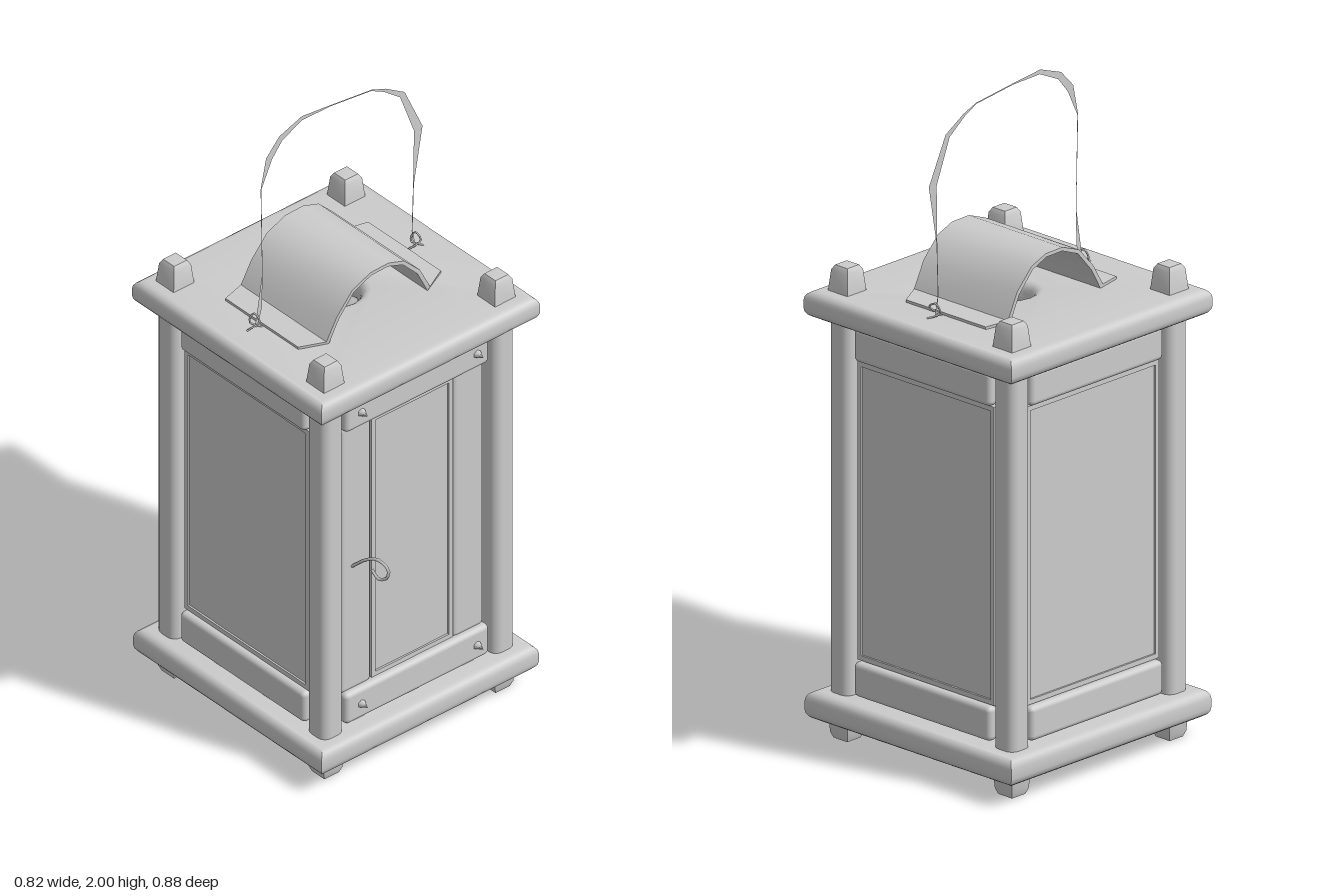
import * as THREE from 'three';
import { toCreasedNormals } from 'three/addons/utils/BufferGeometryUtils.js';
import { RoundedBoxGeometry } from 'three/addons/geometries/RoundedBoxGeometry.js';

const paint = new THREE.MeshStandardMaterial({ color: 0xcccccc, side: THREE.DoubleSide });
paint.name = 'light grey';

function add(parent, name, geometry, x = 0, y = 0, z = 0) {
  const mesh = new THREE.Mesh(geometry, paint);
  mesh.name = name;
  mesh.position.set(x, y, z);
  parent.add(mesh);
  return mesh;
}

const bar = (w, h, d, r) => new RoundedBoxGeometry(w, h, d, 3, r);

function rectangle(Type, w, h) {
  return new Type([[-w, -h], [w, -h], [w, h], [-w, h]].map(([x, y]) => new THREE.Vector2(x / 2, y / 2)));
}

// Square board with rounded edges, optionally with a round vent
function slab(size, thickness, vent) {
  const bevel = 0.028;
  const shape = rectangle(THREE.Shape, size - 2 * bevel, size - 2 * bevel);
  if (vent) {
    const hole = new THREE.Path();
    hole.absarc(0, 0, vent, 0, Math.PI * 2, true);
    shape.holes.push(hole);
  }
  const g = new THREE.ExtrudeGeometry(shape, {
    depth: thickness - 2 * bevel, bevelThickness: bevel, bevelSize: bevel, bevelSegments: 4, curveSegments: 8,
  });
  g.translate(0, 0, bevel).rotateX(-Math.PI / 2);
  return toCreasedNormals(g, 0.7);
}

// Four-sided peg from half-width and height pairs
function peg(profile) {
  const pts = profile.map(([w, y]) => new THREE.Vector2(w * Math.SQRT2, y));
  return toCreasedNormals(new THREE.LatheGeometry(pts, 4, Math.PI / 4), 0.7);
}

// Glass pane with a narrow raised frame
function pane(parent, x, y, z, w, h) {
  const edge = rectangle(THREE.Shape, w, h);
  edge.holes.push(rectangle(THREE.Path, w - 0.03, h - 0.03));
  add(parent, 'paneFrame', new THREE.ExtrudeGeometry(edge, { depth: 0.02, bevelEnabled: false }), x, y, z - 0.01);
  add(parent, 'glass', new THREE.BoxGeometry(w - 0.02, h - 0.02, 0.008), x, y, z);
}

// One wall: rails above and below, with an opening between them
function wall(parent, name, angle) {
  const g = new THREE.Group();
  g.name = name;
  g.rotation.y = angle;
  parent.add(g);
  for (const y of [0.203, 1.218]) add(g, 'rail', bar(0.54, 0.105, 0.04, 0.016), 0, y, 0.335);
  return g;
}

// Bent sheet-metal hood with chamfered flanges
function hood() {
  const outer = [[-0.275, 1.366], [-0.2, 1.368], [-0.16, 1.435], [-0.1, 1.5], [-0.03, 1.527], [0.04, 1.527],
    [0.1, 1.505], [0.16, 1.445], [0.2, 1.368], [0.275, 1.366]];
  const inner = outer.map(([x, y], i) => [x * (i > 0 && i < 9 ? 0.95 : 1), y - 0.011]).reverse();
  const shape = new THREE.Shape([...outer, ...inner].map(([x, y]) => new THREE.Vector2(x, y)));
  const g = new THREE.ExtrudeGeometry(shape, { depth: 1, bevelEnabled: false });
  const p = g.attributes.position;
  for (let i = 0; i < p.count; i++) {
    const x = p.getX(i);
    const end = Math.abs(x) > 0.24;
    const back = end ? -0.195 : -0.212;
    const front = end ? 0.12 : 0.158;
    p.setZ(i, THREE.MathUtils.lerp(back, front, p.getZ(i)) - 0.03 * x);
  }
  return toCreasedNormals(g, 0.6);
}

// Flat tapering strip through [x, y, width] points
function ribbon(points) {
  const pos = [];
  const index = [];
  points.forEach(([x, y, w], i) => {
    const a = points[Math.max(i - 1, 0)];
    const b = points[Math.min(i + 1, points.length - 1)];
    const n = new THREE.Vector2(a[1] - b[1], b[0] - a[0]).normalize().multiplyScalar(w / 2);
    const z = -0.03 - 0.015 * THREE.MathUtils.smoothstep(y, 1.5, 2);
    pos.push(x + n.x, y + n.y, z, x - n.x, y - n.y, z);
    if (i) index.push(2 * i - 2, 2 * i - 1, 2 * i, 2 * i, 2 * i - 1, 2 * i + 1);
  });
  const g = new THREE.BufferGeometry();
  g.setAttribute('position', new THREE.Float32BufferAttribute(pos, 3));
  g.setIndex(index);
  g.computeVertexNormals();
  return g;
}

function wire(points, radius) {
  const curve = new THREE.CatmullRomCurve3(points.map((p) => new THREE.Vector3(...p)));
  return new THREE.TubeGeometry(curve, 16, radius, 5);
}

export function createModel() {
  const model = new THREE.Group();
  model.name = 'lantern';
  const body = new THREE.Group();
  body.name = 'body';
  body.position.z = -0.025;
  model.add(body);

  // Base and roof
  add(body, 'base', slab(0.815, 0.085), 0, 0.06, 0);
  add(body, 'roof', slab(0.82, 0.08, 0.1), 0, 1.278, 0);

  // Corner posts with pegs through the roof and feet below
  const foot = peg([[0, 0], [0.027, 0.002], [0.034, 0.02], [0.038, 0.075]]);
  const finial = peg([[0.039, 0], [0.032, 0.068], [0.024, 0.082], [0, 0.085]]);
  for (const x of [-0.322, 0.32]) {
    for (const z of [-0.325, 0.325]) {
      add(body, 'post', bar(0.082, 1.18, 0.082, 0.028), x, 0.71, z);
      add(body, 'foot', foot, x, 0, z);
      add(body, 'finial', finial, x, 1.353, z);
    }
  }

  // Glazed side and back walls
  for (const [name, angle] of [['leftWall', Math.PI / 2], ['backWall', Math.PI], ['rightWall', -Math.PI / 2]]) {
    pane(wall(body, name, angle), 0, 0.71, 0.325, 0.54, 0.905);
  }

  // Front wall with stiles, narrow pane and screws
  const front = wall(body, 'frontWall', 0);
  add(front, 'leftStile', bar(0.12, 0.93, 0.04, 0.018), 0.207, 0.71, 0.315);
  add(front, 'rightStile', bar(0.12, 0.93, 0.04, 0.018), -0.215, 0.71, 0.315);
  pane(front, -0.005, 0.71, 0.325, 0.305, 0.905);
  for (const x of [-0.212, 0.222]) {
    for (const y of [0.203, 1.218]) {
      add(front, 'screw', new THREE.ConeGeometry(0.015, 0.03, 6).rotateX(Math.PI / 2), x, y, 0.367);
    }
  }

  // Latch hook
  add(model, 'hook', wire([[-0.23, 0.68, 0.31], [-0.218, 0.72, 0.355], [-0.21, 0.74, 0.4], [-0.205, 0.725, 0.437],
    [-0.205, 0.69, 0.43], [-0.21, 0.675, 0.4], [-0.212, 0.695, 0.375]], 0.005), 0, 0, 0);

  // Smoke hood and thin carrying bail
  add(model, 'hood', hood());
  add(model, 'bail', ribbon([[-0.295, 1.36, 0.01], [-0.282, 1.42, 0.016], [-0.272, 1.53, 0.002], [-0.268, 1.82, 0.003],
    [-0.235, 1.91, 0.026], [-0.19, 1.96, 0.022], [-0.11, 1.993, 0.014], [0, 1.986, 0.004], [0.15, 1.968, 0.004],
    [0.2, 1.945, 0.01], [0.265, 1.9, 0.02], [0.32, 1.76, 0.032], [0.296, 1.58, 0.003], [0.29, 1.42, 0.003],
    [0.3, 1.36, 0.008]]));

  // Twisted wire ends
  for (const x of [-0.3, 0.305]) {
    add(model, 'wireEnd', wire([[-0.025, 0, -0.005], [0.005, 0.03, 0.015], [0.005, 0.045, -0.01],
      [-0.005, 0.015, -0.018], [0.022, 0, 0.008]], 0.003), x, 1.358, -0.03);
  }
  return model;
}
